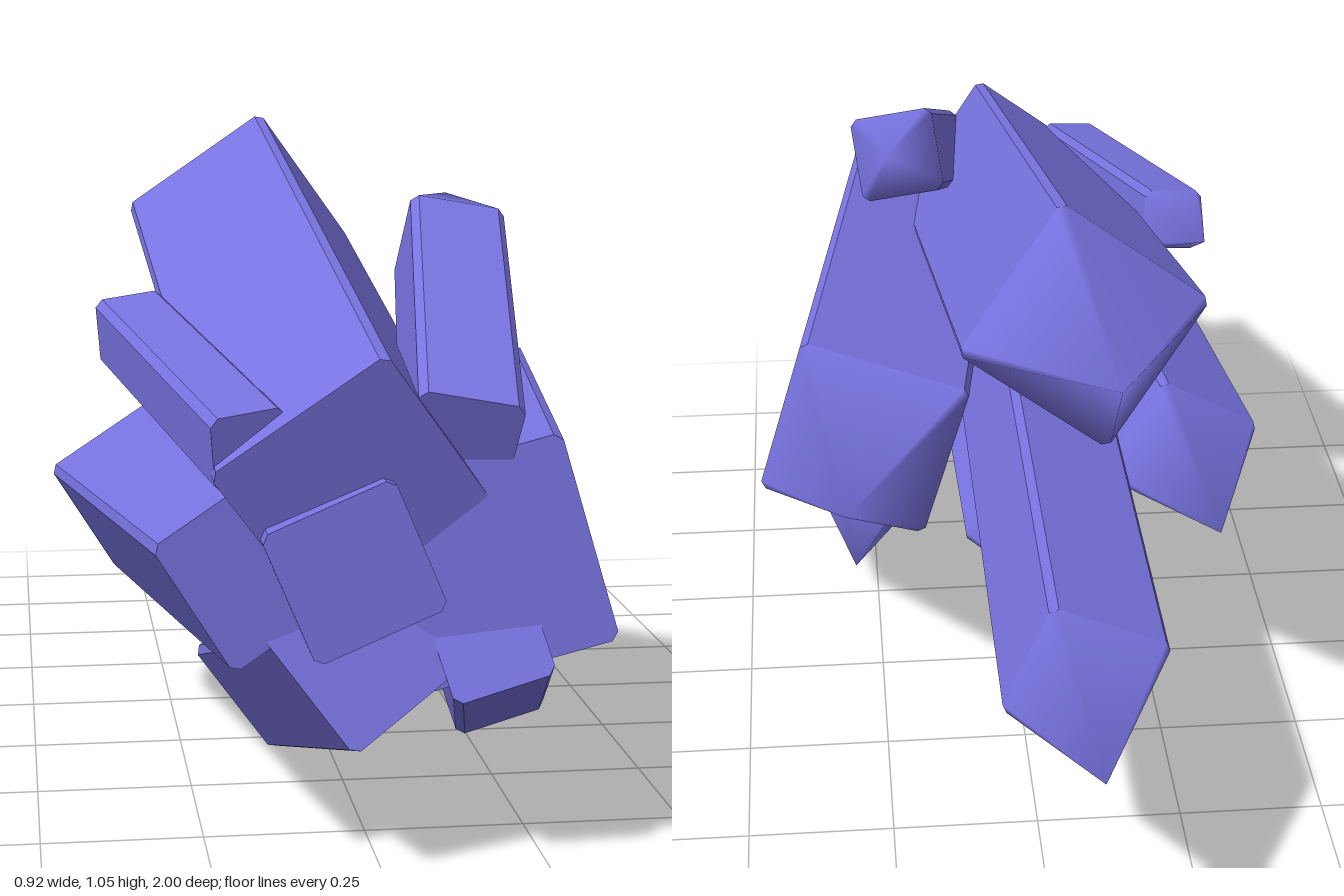
import * as THREE from 'three';
import { mergeGeometries } from 'three/addons/utils/BufferGeometryUtils.js';

const CHAMFER = 0.012;

// Chamfered square outline, counter-clockwise, turned by roll
function outline(side, roll) {
  const h = side / 2, k = h - CHAMFER, points = [];
  for (let i = 0; i < 4; i++) {
    const centre = new THREE.Vector2();
    points.push(
      new THREE.Vector2(h, k).rotateAround(centre, roll + i * Math.PI / 2),
      new THREE.Vector2(k, h).rotateAround(centre, roll + i * Math.PI / 2),
    );
  }
  return points;
}

// Flat-sided prism running along -z, closed by a smooth pointed tip
function crystalGeometry(side, roll, length, tipLength) {
  const ring = outline(side, roll);
  const prism = new THREE.ExtrudeGeometry(new THREE.Shape(ring), { depth: length, bevelEnabled: false });
  prism.translate(0, 0, -length);
  prism.deleteAttribute('uv');

  const positions = ring.flatMap((p) => [p.x, p.y, -length]);
  positions.push(0, 0, -length - tipLength);
  const index = [];
  ring.forEach((_, i) => index.push(i, ring.length, (i + 1) % ring.length));
  const tip = new THREE.BufferGeometry();
  tip.setAttribute('position', new THREE.Float32BufferAttribute(positions, 3));
  tip.setIndex(index);
  tip.computeVertexNormals();
  return mergeGeometries([prism, tip.toNonIndexed()]);
}

// Base centre, shoulder centre, tip length, side, roll in degrees
const CRYSTALS = [
  { name: 'centreCrystal', base: [-0.05, 0.472, 0.99], shoulder: [-0.053, 0.467, -0.73], tip: 0.27, side: 0.208, roll: 23 },
  { name: 'topCrystal', base: [-0.045, 0.58, 0.96], shoulder: [-0.093, 0.856, -0.285], tip: 0.395, side: 0.304, roll: 35.5 },
  { name: 'leftCrystal', base: [0.145, 0.467, 0.95], shoulder: [0.272, 0.468, 0.05], tip: 0.275, side: 0.318, roll: 16.5 },
  { name: 'rightCrystal', base: [-0.187, 0.475, 0.95], shoulder: [-0.312, 0.42, 0.05], tip: 0.275, side: 0.222, roll: 32 },
  { name: 'bottomCrystal', base: [-0.028, 0.35, 0.95], shoulder: [-0.073, 0.145, 0.26], tip: 0.205, side: 0.22, roll: 36 },
  { name: 'smallUpperLeftCrystal', base: [0.109, 0.648, 0.955], shoulder: [0.187, 0.88, 0.402], tip: 0.182, side: 0.155, roll: -9 },
  { name: 'smallUpperRightCrystal', base: [-0.195, 0.645, 0.95], shoulder: [-0.332, 0.744, 0.365], tip: 0.17, side: 0.113, roll: 6 },
  { name: 'smallLowerLeftCrystal', base: [0.152, 0.36, 0.955], shoulder: [0.26, 0.142, 0.402], tip: 0.182, side: 0.155, roll: 17 },
];

export function createModel() {
  const group = new THREE.Group();
  group.name = 'crystalCluster';
  const violet = new THREE.MeshStandardMaterial({ color: 0x7873e0 });
  violet.name = 'violet';

  for (const { name, base, shoulder, tip, side, roll } of CRYSTALS) {
    const start = new THREE.Vector3(...base);
    const axis = new THREE.Vector3(...shoulder).sub(start);
    const geometry = crystalGeometry(side, THREE.MathUtils.degToRad(roll), axis.length(), tip);
    const crystal = new THREE.Mesh(geometry, violet);
    crystal.name = name;
    crystal.position.copy(start);
    crystal.quaternion.setFromUnitVectors(new THREE.Vector3(0, 0, -1), axis.normalize());
    group.add(crystal);
  }
  return group;
}
